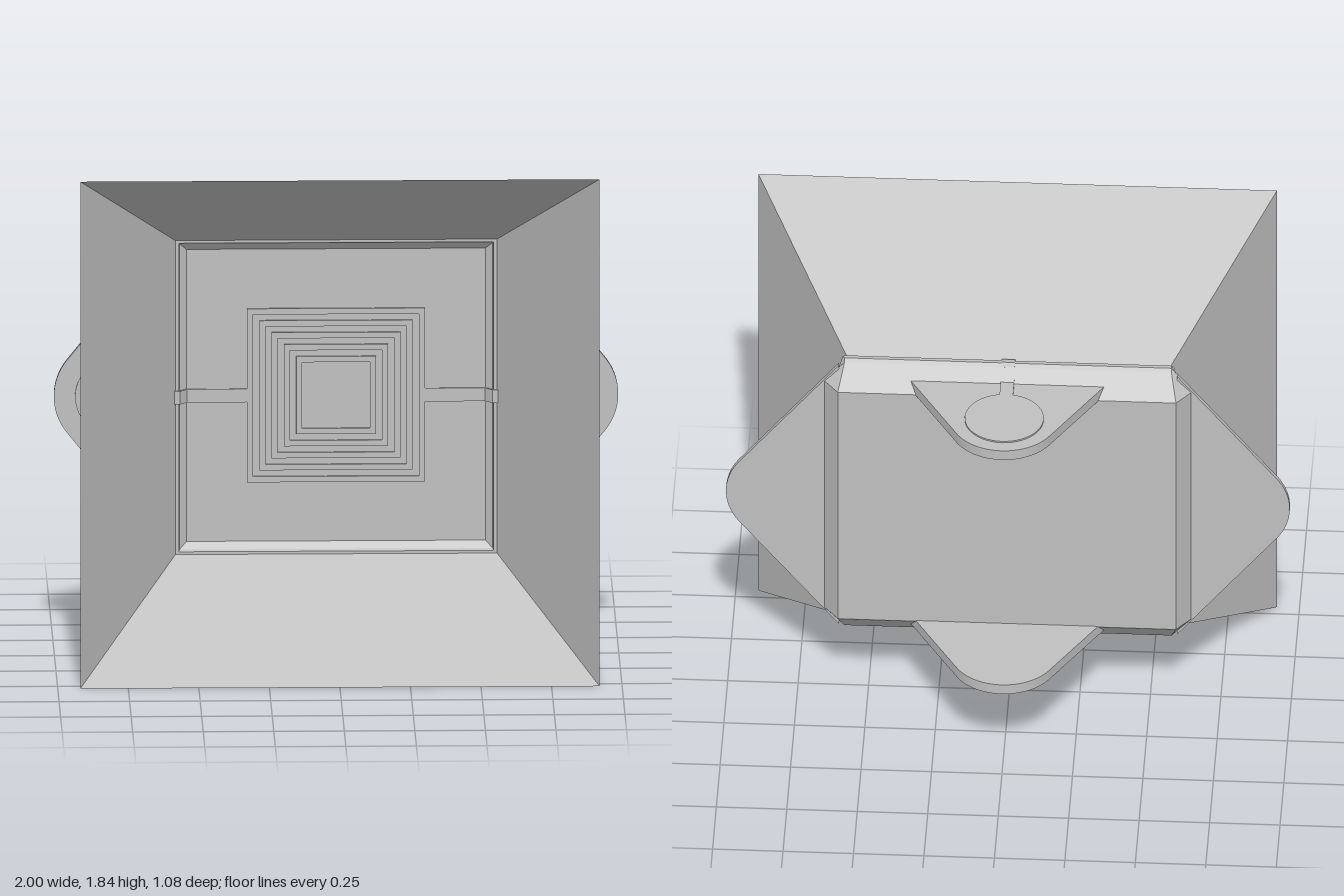
import * as THREE from 'three';

const grey = new THREE.MeshStandardMaterial({ color: 0xc0c0c0 });
grey.name = 'plain grey';
grey.side = THREE.DoubleSide;

const mesh = (name, geometry) => {
  const m = new THREE.Mesh(geometry, grey);
  m.name = name;
  return m;
};

// Joins eight-cornered sections [z, half width, half height, corner x, corner y] into flat faces
function loft(sections) {
  const rings = sections.map(([z, hx, hy, cx = hx, cy = hy]) => [
    [hx, cy], [cx, hy], [-cx, hy], [-hx, cy], [-hx, -cy], [-cx, -hy], [cx, -hy], [hx, -cy],
  ].map(([x, y]) => [x, y, z]));
  const pos = [];
  for (let i = 0; i < rings.length - 1; i++) {
    for (let j = 0; j < 8; j++) {
      const k = (j + 1) % 8;
      const [a, b, c, d] = [rings[i][j], rings[i + 1][j], rings[i + 1][k], rings[i][k]];
      pos.push(...a, ...b, ...c, ...a, ...c, ...d);
    }
  }
  const g = new THREE.BufferGeometry();
  g.setAttribute('position', new THREE.Float32BufferAttribute(pos, 3));
  g.computeVertexNormals();
  return g;
}

const extrude = (shape, depth) =>
  new THREE.ExtrudeGeometry(shape, { depth, bevelEnabled: false, curveSegments: 32 });

// Flat strip following a path of [distance out, height] points
function feedLine(path) {
  const line = new THREE.Group();
  line.name = 'feedLine';
  for (let i = 0; i < path.length - 1; i++) {
    const [v0, h0] = path[i], [v1, h1] = path[i + 1];
    const part = mesh('feedSegment',
      new THREE.BoxGeometry(0.048, Math.hypot(v1 - v0, h1 - h0) + 0.002, 0.006));
    part.position.set(0, (v0 + v1) / 2, (h0 + h1) / 2);
    part.rotation.x = Math.atan2(h1 - h0, v1 - v0);
    line.add(part);
  }
  return line;
}

// Tapered tab with a round end, a raised disc and its feed line; it points along +y
function tab(name, { base, half, centre, radius, thick, discAt, path }) {
  const group = new THREE.Group();
  group.name = name;
  const dv = base - centre;
  const t = Math.atan2(dv, half) + Math.acos(radius / Math.hypot(half, dv));
  const outline = new THREE.Shape();
  outline.moveTo(-half, base);
  outline.lineTo(half, base);
  outline.absarc(0, centre, radius, t, Math.PI - t, false);
  outline.closePath();
  group.add(mesh('tabPlate', extrude(outline, thick)));

  const disc = mesh('tabDisc', new THREE.CylinderGeometry(0.14, 0.14, 0.008, 48));
  disc.rotation.x = Math.PI / 2;
  disc.position.set(0, discAt, thick + 0.002);
  group.add(disc, feedLine(path));
  return group;
}

export function createModel() {
  const model = new THREE.Group();
  model.name = 'hornPanel';
  const unit = new THREE.Group();
  unit.name = 'unit';
  unit.position.y = 0.92;
  model.add(unit);

  // Flared square horn, open at both ends
  unit.add(mesh('horn', loft([[0.54, 0.92, 0.92], [-0.066, 0.57, 0.57]])));

  // Shallow tray: floor, rim, chamfered sides and back
  unit.add(mesh('tray', loft([
    [-0.1, 0, 0],
    [-0.1, 0.53, 0.53],
    [-0.08, 0.555, 0.555],
    [-0.066, 0.558, 0.56],
    [-0.066, 0.575, 0.575],
    [-0.075, 0.588, 0.59, 0.58, 0.585],
    [-0.09, 0.6, 0.59, 0.58, 0.55],
    [-0.104, 0.655, 0.58, 0.58, 0.5],
    [-0.175, 0.6, 0.5],
    [-0.175, 0, 0],
  ])));

  // Nested square rings on the floor
  for (let i = 0; i < 5; i++) {
    const outer = 0.315 - i * 0.0435, inner = outer - 0.021;
    const square = (s, Kind) => new Kind([[-s, -s], [s, -s], [s, s], [-s, s]]
      .map(([x, y]) => new THREE.Vector2(x, y)));
    const shape = square(outer, THREE.Shape);
    shape.holes.push(square(inner, THREE.Path));
    const ring = mesh('squareRing', extrude(shape, 0.009));
    ring.position.z = -0.101;
    unit.add(ring);
  }

  // Side tabs, with the feed running over the rim to the rings
  for (const side of [1, -1]) {
    const t = tab(side > 0 ? 'leftTab' : 'rightTab', {
      base: 0.6, half: 0.57, centre: 0.79, radius: 0.21, thick: 0.018, discAt: 0.785,
      path: [[0.66, 0.02], [0.6, 0.022], [0.577, 0.047], [0.555, 0.047], [0.53, 0.016], [0.3, 0.015]],
    });
    t.rotation.z = -side * Math.PI / 2;
    t.position.z = -0.11;
    unit.add(t);
  }

  // Top and bottom tabs, standing out of the back
  for (const turn of [0, Math.PI]) {
    const holder = new THREE.Group();
    holder.name = turn ? 'bottomMount' : 'topMount';
    holder.rotation.z = turn;
    const t = tab(turn ? 'bottomTab' : 'topTab', {
      base: 0.138, half: 0.345, centre: 0.35, radius: 0.19, thick: 0.04, discAt: 0.352,
      path: [[0.225, 0.043], [0.14, 0.043], [0.104, 0.084], [0.088, 0.092], [0.066, 0.088]],
    });
    t.rotation.x = -Math.PI / 2;
    t.position.y = 0.497;
    holder.add(t);
    unit.add(holder);
  }
  return model;
}
